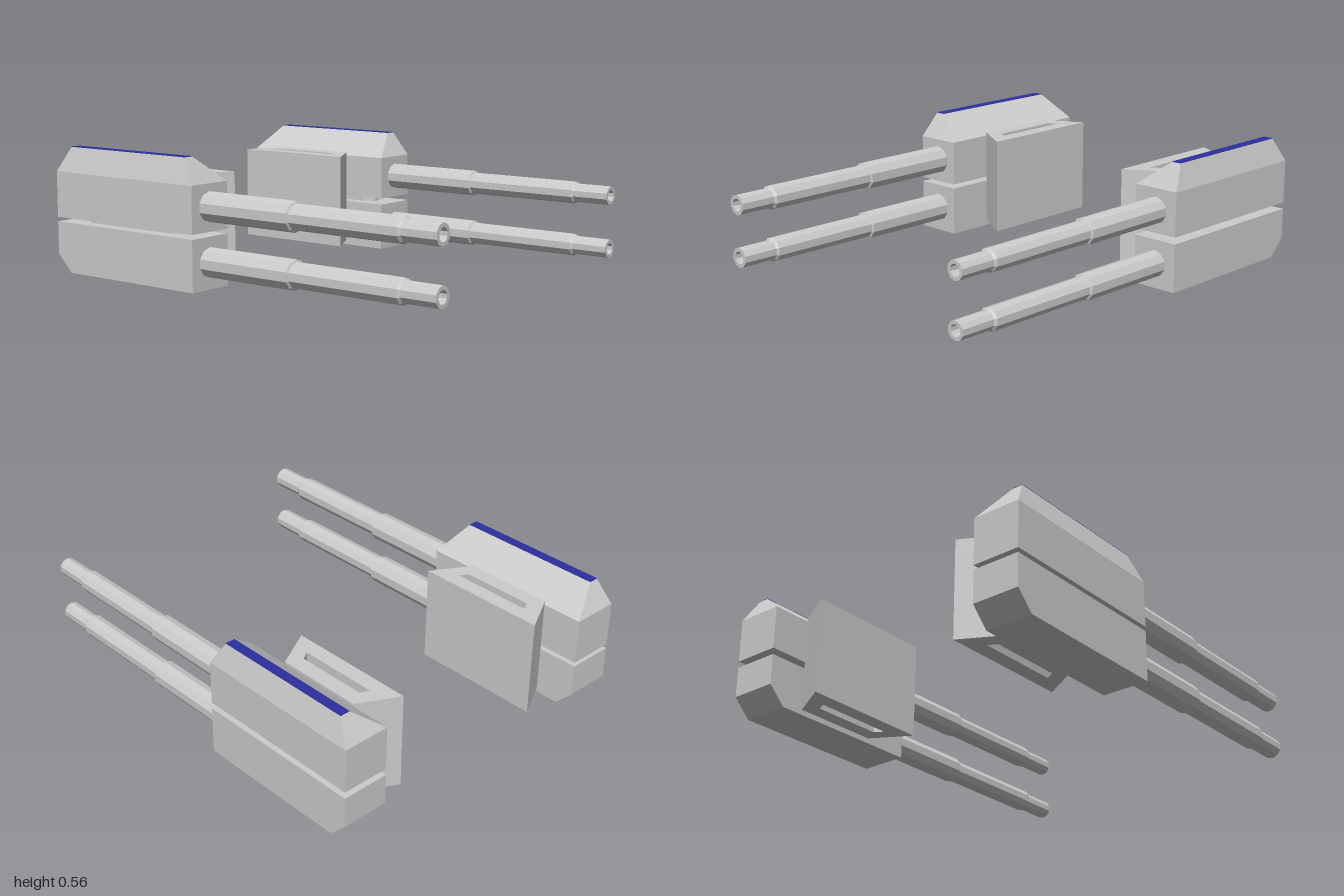
import * as THREE from 'three';
import { ConvexGeometry } from 'three/addons/geometries/ConvexGeometry.js';

const grey = new THREE.MeshStandardMaterial({ color: 0xcccccc, flatShading: true });
const blue = new THREE.MeshStandardMaterial({ color: 0x2a2f9e, flatShading: true });

function add(parent, name, geometry, material = grey) {
  const mesh = new THREE.Mesh(geometry, material);
  mesh.name = name;
  parent.add(mesh);
  return mesh;
}

// Four corners of a level rectangle
const ring = (x0, x1, y, z0, z1) => [[x0, z0], [x1, z0], [x1, z1], [x0, z1]]
  .map(([x, z]) => new THREE.Vector3(x, y, z));

// Extrudes an outline of [x, z] points from y0 up to y1
function upright(outline, y0, y1, hole) {
  const toPoints = (list) => list.map(([x, z]) => new THREE.Vector2(x, -z));
  const shape = new THREE.Shape(toPoints(outline));
  if (hole) shape.holes.push(new THREE.Path(toPoints(hole)));
  const geometry = new THREE.ExtrudeGeometry(shape, { depth: y1 - y0, bevelEnabled: false });
  return geometry.rotateX(-Math.PI / 2).translate(0, y0, 0);
}

// Stepped barrel with a hollow muzzle, running along +z
function barrelGeometry() {
  const profile = [
    [0, -0.22], [0.065, -0.22], [0.065, 0.29], [0.055, 0.295], [0.055, 0.825],
    [0.046, 0.835], [0.046, 1], [0.029, 1], [0.029, 0.93], [0, 0.93],
  ].map(([r, z]) => new THREE.Vector2(r, z));
  return new THREE.LatheGeometry(profile, 10).rotateX(Math.PI / 2);
}

// side is -1 or +1 for the sign of x; gap is the slit between the two housings
function gun(name, side, gap) {
  const group = new THREE.Group();
  group.name = name;
  const housing = new THREE.Group();
  housing.name = 'housing';
  const barrels = new THREE.Group();
  barrels.name = 'barrels';
  group.add(housing, barrels);

  const outer = side * 0.773, inner = side * 0.557;
  const low = 0.235 - gap / 2, high = 0.235 + gap / 2;

  // Upper housing with a lopsided hipped roof
  add(housing, 'upperHousing', new ConvexGeometry([
    ...ring(outer, inner, high, -1, -0.177),
    ...ring(outer, inner, 0.45, -1, -0.177),
    ...ring(side * 0.74, side * 0.695, 0.56, -0.935, -0.245),
  ]));
  // Coloured roof ridge
  add(housing, 'ridgeStripe', new THREE.BoxGeometry(0.045, 0.003, 0.69), blue)
    .position.set(side * 0.7175, 0.5605, -0.59);

  // Lower housing, chamfered at the bottom rear
  add(housing, 'lowerHousing', new ConvexGeometry([
    ...ring(outer, inner, low, -1, -0.177),
    ...ring(outer, inner, 0.08, -1, -0.177),
    ...ring(outer, inner, 0, -0.92, -0.177),
  ]));

  // Long eight-sided spacer between the housings
  const spacer = [
    [0.02, -0.285], [0.047, -0.345], [0.047, -0.84], [0.02, -0.895],
    [-0.02, -0.895], [-0.047, -0.84], [-0.047, -0.345], [-0.02, -0.285],
  ].map(([x, z]) => [side * 0.663 + x, z]);
  add(housing, 'spacer', upright(spacer, low - 0.01, high + 0.01));

  // Flared mounting block with a slot through it
  const flip = (list) => list.map(([x, z]) => [side * x, z]);
  add(housing, 'mountBlock', upright(
    flip([[0.56, -0.81], [0.38, -0.907], [0.38, -0.293], [0.56, -0.4]]), 0.024, 0.464,
    flip([[0.49, -0.77], [0.45, -0.79], [0.45, -0.41], [0.49, -0.435]]),
  ));

  // Twin barrels
  for (const [label, y] of [['upperBarrel', 0.352], ['lowerBarrel', 0.116]]) {
    add(barrels, label, barrelGeometry()).position.set(side * 0.665, y, 0);
  }
  return { group, housing, barrels };
}

export function createModel() {
  const model = new THREE.Group();
  model.name = 'twinGuns';
  const right = gun('rightGun', -1, 0.02);

  // The left gun is slightly smaller
  const left = gun('leftGun', 1, 0.03);
  left.housing.scale.set(1, 0.98, 0.965);
  left.housing.position.set(0, 0.283 * 0.02, -0.5875 * 0.035);
  left.barrels.children.forEach((barrel) => {
    barrel.scale.set(0.9, 0.9, 1);
    barrel.position.z = -0.018;
  });

  model.add(right.group, left.group);
  return model;
}
